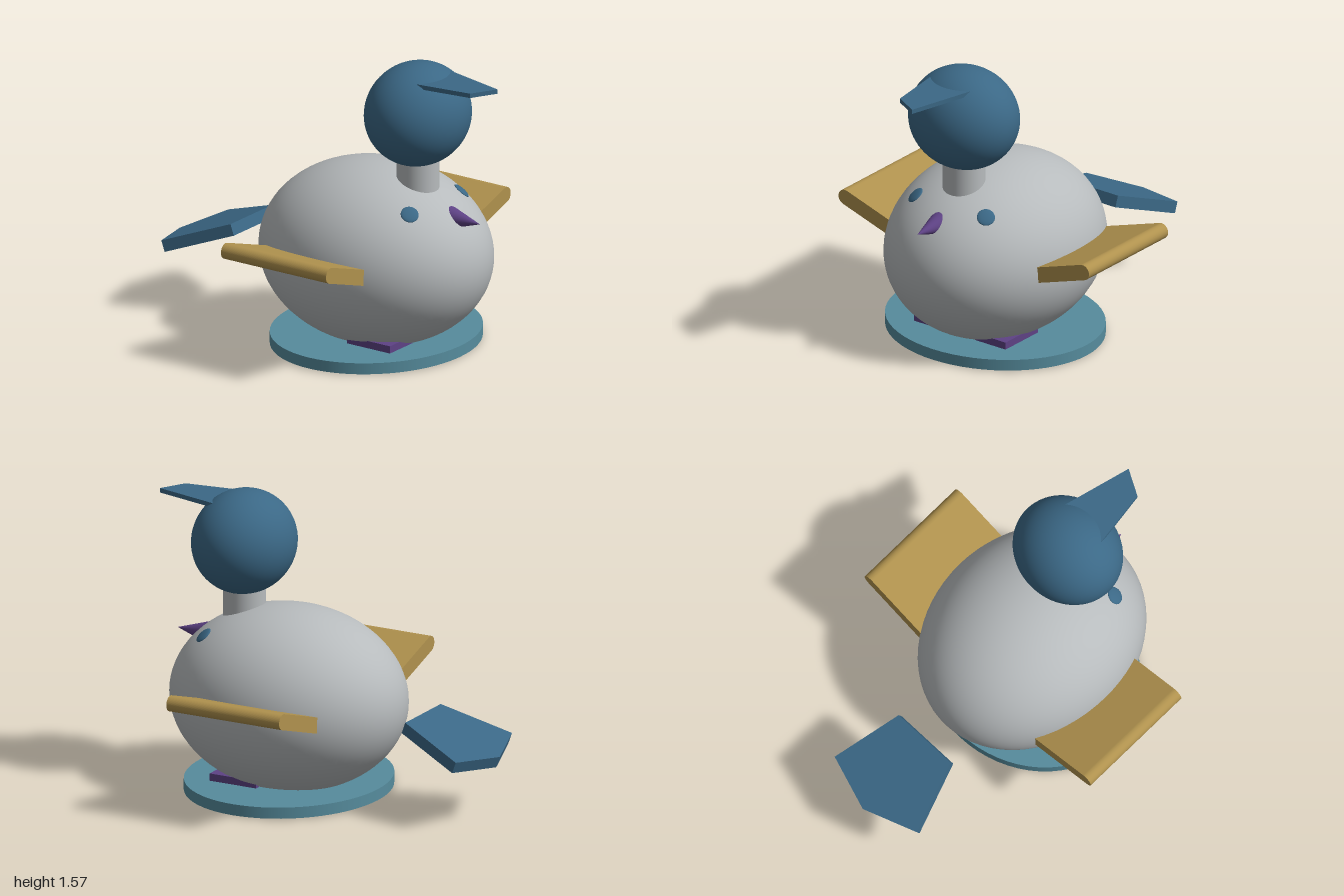
import * as THREE from 'three';

const material = (name, color) => {
  const m = new THREE.MeshStandardMaterial({ color });
  m.name = name;
  return m;
};

export function createModel() {
  const model = new THREE.Group();
  const grey = material('lightGrey', 0xb7bbbd);
  const blue = material('deepBlue', 0x3b6886);
  const gold = material('gold', 0xb0924e);
  const teal = material('teal', 0x568c9d);
  const purple = material('purple', 0x5e4285);

  const add = (name, geometry, mat, x = 0, y = 0, z = 0) => {
    const mesh = new THREE.Mesh(geometry, mat);
    mesh.name = name;
    mesh.position.set(x, y, z);
    model.add(mesh);
    return mesh;
  };
  const ellipsoid = (rx, ry, rz) => new THREE.SphereGeometry(1, 64, 40).scale(rx, ry, rz);

  // Flat slab lying in the xz plane, from y = 0 up to its thickness
  const slab = (points, thickness) => {
    const shape = new THREE.Shape(points.map(([x, z]) => new THREE.Vector2(x, -z)));
    return new THREE.ExtrudeGeometry(shape, { depth: thickness, bevelEnabled: false })
      .rotateX(-Math.PI / 2);
  };

  // Body, neck and head
  add('body', ellipsoid(0.537, 0.488, 0.645), grey, 0, 0.492, 0.252);
  add('neck', new THREE.CylinderGeometry(0.112, 0.112, 0.3, 48), grey, 0, 0.95, 0.517);
  add('head', ellipsoid(0.303, 0.275, 0.268), blue, 0, 1.294, 0.517);

  // Skewed brim emerging from the head
  add('brim', slab([[-0.16, 0.52], [-0.104, 0.925], [0.033, 1], [0.158, 0.52]], 0.024),
    blue, 0, 1.49, 0);

  // Oval base
  add('base', new THREE.CylinderGeometry(1, 1, 0.06, 64).scale(0.596, 1, 0.528),
    teal, 0, 0.038, 0.252);

  // Beak
  add('beak', new THREE.ConeGeometry(0.063, 0.2, 32).rotateX(Math.PI / 2),
    purple, 0, 0.765, 0.813);

  // Tail: pentagon sloping down to the rear
  const tail = add('tail', slab(
    [[-0.187, 0], [0.187, 0], [0.297, -0.385], [0, -0.486], [-0.297, -0.385]], 0.063),
    blue, 0, 0.461, -0.522);
  tail.rotation.x = -THREE.MathUtils.degToRad(20);

  // Wing cross-section: flat bar with a rounded tip
  const r = 0.042;
  const wingShape = new THREE.Shape();
  wingShape.moveTo(-0.45, -r);
  wingShape.lineTo(0, -r);
  wingShape.absarc(0, 0, r, -Math.PI / 2, Math.PI / 2, false);
  wingShape.lineTo(-0.45, r);
  wingShape.closePath();
  const wingGeometry = new THREE.ExtrudeGeometry(wingShape,
    { depth: 0.67, bevelEnabled: false, curveSegments: 20 }).translate(0, 0, -0.335);

  // Paired parts
  for (const side of [1, -1]) {
    const label = side > 0 ? 'left' : 'right';
    const wing = add(label + 'Wing', wingGeometry, gold, side * 0.777, 0.624, 0.185);
    wing.rotation.set(0, side > 0 ? 0 : Math.PI, THREE.MathUtils.degToRad(18) * side);
    if (side < 0) wing.rotation.order = 'ZYX';

    // Flattened eye lying on the body surface
    const eye = add(label + 'Eye', ellipsoid(0.047, 0.047, 0.012), blue,
      side * 0.23, 0.826, 0.63);
    eye.quaternion.setFromUnitVectors(new THREE.Vector3(0, 0, 1),
      new THREE.Vector3(side * 0.43, 0.755, 0.49).normalize());

    // Foot with a peg through the base
    add(label + 'Foot', new THREE.BoxGeometry(0.2, 0.057, 0.275), purple,
      side * 0.2, 0.079, 0.417);
    add(label + 'FootPeg', new THREE.CylinderGeometry(0.04, 0.04, 0.08, 24), purple,
      side * 0.19, 0.044, 0.31);
  }
  return model;
}
